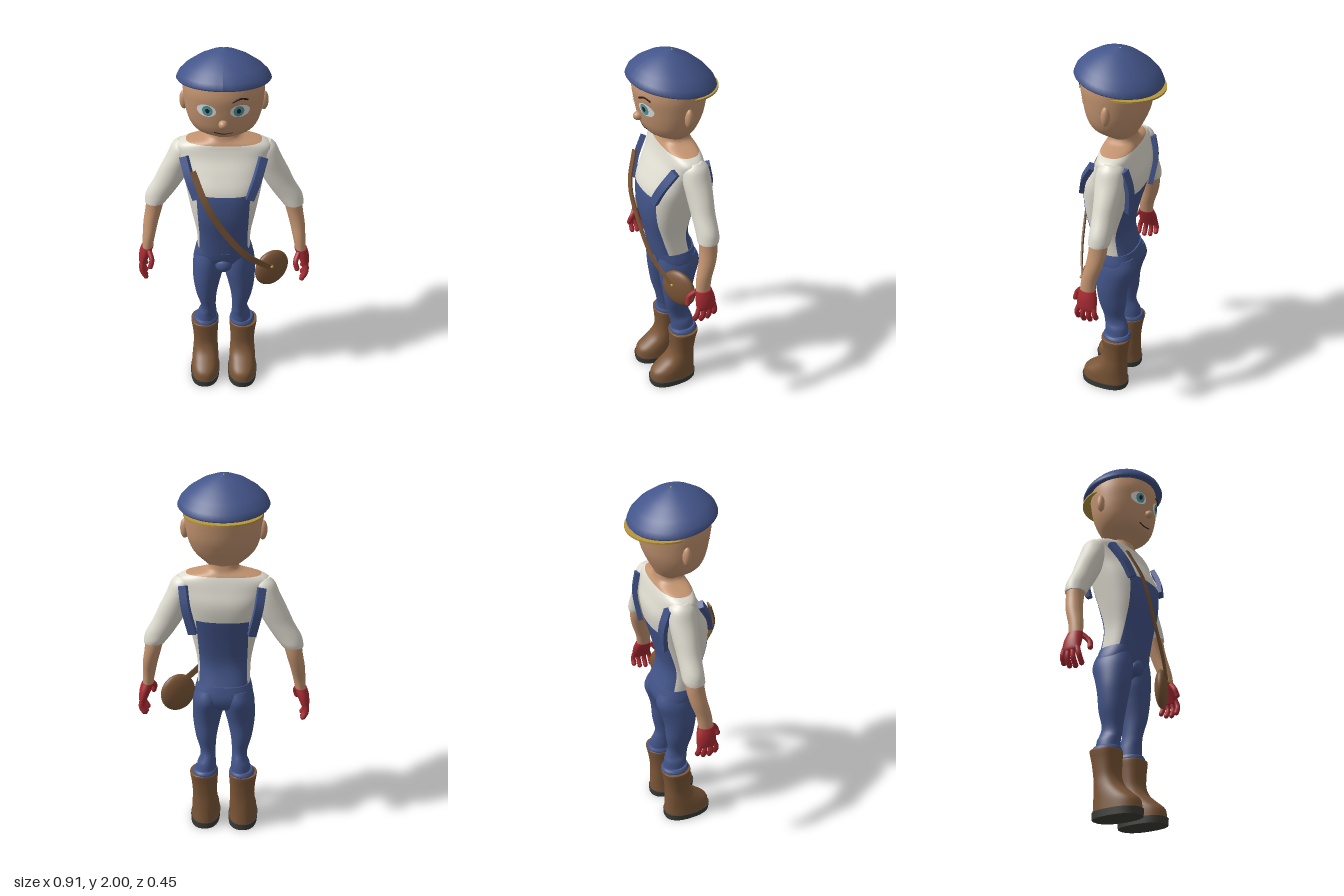
import * as THREE from 'three';

const paint = (color) => new THREE.MeshStandardMaterial({ color });
const V = (p) => new THREE.Vector3(...p);
const curve = (pts) => new THREE.CatmullRomCurve3(pts.map(V));

// Smooth closed body from rings listed upwards: [y, x0, x1, zFront, zBack, splitAngle].
// Each quarter has two zones divided at splitAngle, so colours can follow an edge.
function loft(rings, { exp = 2, n = 40, steps = 4, pick = () => 0 } = {}) {
  const pos = [], faces = [], q = n / 4;
  const rows = (rings.length - 1) * steps;
  const at = (t) => {
    const k = Math.min(Math.floor(t), rings.length - 2), f = t - k;
    const R = (i) => rings[Math.max(0, Math.min(rings.length - 1, i))];
    const [a, b, c, d] = [R(k - 1), R(k), R(k + 1), R(k + 2)].map((r) => [...r.slice(0, 5), r[5] ?? 45]);
    return b.map((v, i) => v + 0.5 * f * (c[i] - a[i] + f * (2 * a[i] - 5 * v + 4 * c[i] - d[i] + f * (3 * (v - c[i]) + d[i] - a[i]))));
  };
  const warp = (u, s) => (u < 0.5 ? u * 2 * s : s + (u - 0.5) * 2 * (90 - s)) * Math.PI / 180;
  const pw = (v) => Math.sign(v) * Math.abs(v) ** (2 / exp);
  const addRing = (t) => {
    const [y, x0, x1, zf, zb, s] = at(t);
    for (let i = 0; i < n; i++) {
      const quarter = Math.floor(i / q), u = (i % q) / q;
      const a = quarter % 2 ? (quarter + 1) * Math.PI / 2 - warp(1 - u, s) : quarter * Math.PI / 2 + warp(u, s);
      pos.push((x0 + x1) / 2 + (x1 - x0) / 2 * pw(Math.cos(a)), y, (zf + zb) / 2 + (zf - zb) / 2 * pw(Math.sin(a)));
    }
    return [(x0 + x1) / 2, y, (zf + zb) / 2];
  };
  const put = (m, ...ids) => (faces[m] ??= []).push(...ids);
  for (let j = 0; j <= rows; j++) addRing(j / steps);
  for (let j = 0; j < rows; j++) for (let i = 0; i < n; i++) {
    const a = j * n + i, b = j * n + (i + 1) % n, c = a + n, d = b + n;
    const u = ((i % q) + 0.5) / q, inner = (Math.floor(i / q) % 2 ? 1 - u : u) > 0.5;
    put(pick(Math.floor(j / steps), inner), a, c, b, b, c, d);
  }
  // End caps with their own vertices for crisp rims
  for (const top of [false, true]) {
    const base = pos.length / 3;
    pos.push(...addRing(top ? rings.length - 1 : 0));
    const m = pick(top ? rings.length - 2 : 0, true);
    for (let i = 0; i < n; i++) {
      const a = base + i, b = base + (i + 1) % n;
      top ? put(m, base + n, b, a) : put(m, base + n, a, b);
    }
  }
  const g = new THREE.BufferGeometry();
  g.setAttribute('position', new THREE.Float32BufferAttribute(pos, 3));
  let start = 0;
  faces.forEach((f, m) => { g.addGroup(start, f.length, m); start += f.length; });
  g.setIndex(faces.flat());
  g.computeVertexNormals();
  return g;
}

// Flat strap bent along a path, its face turned towards `out`
function ribbon(pts, width, thick, out) {
  const path = curve(pts), g = new THREE.BoxGeometry(width, thick, 1, 1, 1, 20), p = g.attributes.position;
  for (let i = 0; i < p.count; i++) {
    const t = Math.min(1, Math.max(0, p.getZ(i) + 0.5)), tan = path.getTangent(t);
    const nrm = V(out).addScaledVector(tan, -V(out).dot(tan)).normalize();
    const side = nrm.clone().cross(tan);
    const v = path.getPoint(t).addScaledVector(side, p.getX(i)).addScaledVector(nrm, p.getY(i));
    p.setXYZ(i, v.x, v.y, v.z);
  }
  g.computeVertexNormals();
  return g;
}

const ball = (c, r) => new THREE.SphereGeometry(1, 28, 18).scale(...r).translate(...c);

function flipped(geo) {
  const g = geo.clone().scale(-1, 1, 1), ix = g.index;
  for (let i = 0; i < ix.count; i += 3) { const a = ix.getX(i); ix.setX(i, ix.getX(i + 1)); ix.setX(i + 1, a); }
  g.computeVertexNormals();
  return g;
}

export function createModel() {
  const blue = paint(0x43558a), skin = paint(0xc39470), shirt = paint(0xdedbcf), brown = paint(0x7b5637);
  const sole = paint(0x3b3c36), red = paint(0xa52a31), gold = paint(0xb8963f);
  const iris = paint(0x4c9ca6), eyeWhite = paint(0xe6e8e6), dark = paint(0x2a1d18);
  Object.entries({ blue, skin, shirt, brown, sole, red, gold, iris, eyeWhite, dark }).forEach(([k, m]) => { m.name = k; });

  const model = new THREE.Group();
  model.name = 'figure';
  const add = (name, geo, mat) => {
    const mesh = new THREE.Mesh(geo, mat);
    mesh.name = name;
    model.add(mesh);
    return mesh;
  };
  const pair = (name, geo, mat) => { add(name + 'Left', geo, mat); add(name + 'Right', flipped(geo), mat); };

  // Torso: shirt, overall bib front and back, bare neck
  const sym = (y, hx, zf, zb, s) => [y, -hx, hx, zf, zb, s];
  add('torso', loft([
    sym(0.88, 0.138, 0.125, -0.095, 25), sym(1.0, 0.141, 0.148, -0.066, 32), sym(1.13, 0.165, 0.174, -0.09, 43),
    sym(1.27, 0.192, 0.172, -0.127, 50), sym(1.36, 0.208, 0.132, -0.138, 50), sym(1.43, 0.228, 0.092, -0.122, 50),
    sym(1.475, 0.235, 0.075, -0.11, 50), sym(1.503, 0.19, 0.068, -0.1, 50), sym(1.53, 0.085, 0.056, -0.088, 50),
    sym(1.57, 0.075, 0.05, -0.082, 50),
  ], { exp: 2.5, n: 64, pick: (seg, inner) => (seg >= 7 ? 2 : seg < 3 && inner ? 1 : 0) }), [shirt, blue, skin]);

  // Trousers
  add('hips', loft([
    sym(0.745, 0.09, 0.05, -0.07), sym(0.78, 0.14, 0.085, -0.1), sym(0.83, 0.155, 0.112, -0.11),
    sym(0.892, 0.141, 0.128, -0.099),
  ], { exp: 2.4 }), blue);
  add('trouserFront', ball([0, 0.8, 0.09], [0.045, 0.045, 0.035]), blue);
  pair('leg', loft([
    [0.34, 0.04, 0.15, 0.045, -0.085], [0.4, 0.042, 0.143, 0.048, -0.08], [0.435, 0.045, 0.128, 0.055, -0.07],
    [0.48, 0.045, 0.13, 0.062, -0.056], [0.56, 0.038, 0.152, 0.082, -0.068], [0.65, 0.02, 0.165, 0.096, -0.075],
    [0.72, 0.004, 0.167, 0.105, -0.092], [0.8, 0, 0.162, 0.11, -0.116], [0.86, 0.005, 0.145, 0.105, -0.1],
  ]), blue);
  pair('trouserCuff', loft([
    [0.338, 0.034, 0.168, 0.055, -0.097], [0.352, 0.032, 0.17, 0.056, -0.098], [0.366, 0.038, 0.16, 0.05, -0.09],
  ]), blue);

  // Boots
  pair('boot', loft([
    [0.03, 0.028, 0.183, 0.178, -0.083], [0.08, 0.03, 0.181, 0.17, -0.081], [0.12, 0.032, 0.178, 0.125, -0.079],
    [0.16, 0.035, 0.174, 0.08, -0.078], [0.21, 0.037, 0.171, 0.056, -0.079], [0.28, 0.034, 0.176, 0.056, -0.088],
    [0.335, 0.03, 0.184, 0.061, -0.099], [0.345, 0.032, 0.182, 0.058, -0.097],
  ], { exp: 2.3 }), brown);
  pair('bootSole', loft([[0, 0.026, 0.186, 0.181, -0.085], [0.035, 0.024, 0.188, 0.184, -0.087]], { exp: 2.4, steps: 1 }), sole);

  // Arms
  pair('sleeve', loft([
    [1.118, 0.305, 0.413, 0.02, -0.087], [1.14, 0.288, 0.411, 0.02, -0.092], [1.18, 0.258, 0.4, 0.02, -0.092],
    [1.25, 0.212, 0.36, 0.024, -0.094], [1.32, 0.175, 0.328, 0.03, -0.1], [1.4, 0.15, 0.288, 0.038, -0.104],
    [1.46, 0.14, 0.262, 0.03, -0.095], [1.487, 0.16, 0.235, 0.0, -0.065],
  ]), shirt);
  pair('forearm', loft([
    [0.85, 0.38, 0.434, 0.05, -0.026], [0.92, 0.365, 0.43, 0.044, -0.036], [1.0, 0.346, 0.424, 0.026, -0.062],
    [1.07, 0.326, 0.412, 0.016, -0.077], [1.13, 0.31, 0.404, 0.014, -0.078],
  ]), skin);

  // Gloved hands
  pair('glove', loft([
    [0.752, 0.418, 0.45, 0.05, -0.042], [0.77, 0.41, 0.456, 0.058, -0.048], [0.82, 0.388, 0.452, 0.058, -0.044],
    [0.86, 0.374, 0.44, 0.053, -0.032],
  ]), red);
  const digits = {
    thumb: [[0.395, 0.85, 0.045], [0.38, 0.81, 0.078], [0.388, 0.775, 0.088]],
    indexFinger: [[0.435, 0.775, 0.044], [0.438, 0.73, 0.058], [0.418, 0.69, 0.06]],
    middleFinger: [[0.437, 0.775, 0.018], [0.442, 0.72, 0.026], [0.422, 0.682, 0.027]],
    ringFinger: [[0.437, 0.775, -0.008], [0.442, 0.725, -0.008], [0.424, 0.688, -0.008]],
    littleFinger: [[0.435, 0.775, -0.034], [0.44, 0.735, -0.04], [0.426, 0.708, -0.042]],
  };
  for (const [name, pts] of Object.entries(digits)) {
    pair(name, new THREE.TubeGeometry(curve(pts), 10, 0.0135, 10), red);
    pair(name + 'Tip', new THREE.SphereGeometry(0.0135, 12, 8).translate(...pts[2]), red);
  }

  // Head
  const head = add('head', loft([
    sym(1.54, 0.06, 0.045, -0.08), sym(1.56, 0.09, 0.07, -0.085), sym(1.6, 0.142, 0.132, -0.105),
    sym(1.64, 0.168, 0.158, -0.125), sym(1.69, 0.184, 0.172, -0.145), sym(1.75, 0.193, 0.183, -0.158),
    sym(1.82, 0.197, 0.192, -0.168), sym(1.89, 0.188, 0.18, -0.165),
  ], { n: 48 }), skin);
  pair('ear', ball([0.193, 1.725, -0.003], [0.023, 0.05, 0.022]), skin);
  add('nose', ball([0, 1.685, 0.177], [0.022, 0.022, 0.025]), skin);

  // Face details laid on the head surface
  const ray = new THREE.Raycaster();
  const faceZ = (x, y) => {
    ray.set(new THREE.Vector3(x, y, 1), new THREE.Vector3(0, 0, -1));
    return ray.intersectObject(head)[0].point.z;
  };
  const plate = (x, y, rx, ry, lift) => {
    const g = new THREE.RingGeometry(0.001, 1, 28, 4).scale(rx, ry, 1).translate(x, y, 0), p = g.attributes.position;
    for (let i = 0; i < p.count; i++) p.setZ(i, faceZ(p.getX(i), p.getY(i)) + lift);
    g.computeVertexNormals();
    return g;
  };
  pair('eyeWhite', plate(0.079, 1.755, 0.046, 0.034, 0.003), eyeWhite);
  pair('iris', plate(0.074, 1.756, 0.025, 0.029, 0.005), iris);
  pair('pupil', plate(0.074, 1.757, 0.01, 0.013, 0.007), dark);
  const line = (pts, r) => new THREE.TubeGeometry(curve(pts.map(([x, y]) => [x, y, faceZ(x, y)])), 16, r, 6);
  add('eyebrow', line([[0.042, 1.806], [0.062, 1.816], [0.085, 1.821], [0.115, 1.81]], 0.005), dark);
  add('mouth', line([[-0.045, 1.628], [-0.022, 1.622], [0, 1.62], [0.022, 1.622], [0.045, 1.628]], 0.003), dark);

  // Cap, tilted back, with a thin bill behind
  const capGeo = new THREE.LatheGeometry([
    [0, 1.85], [0.19, 1.852], [0.222, 1.845], [0.228, 1.853], [0.216, 1.88], [0.182, 1.915], [0.12, 1.957], [0.06, 1.984], [0, 1.998],
  ].map(([x, y]) => new THREE.Vector2(x, y)), 48).scale(1, 1, 0.95).translate(0, 0, 0.005);
  const cp = capGeo.attributes.position;
  for (let i = 0; i < cp.count; i++) cp.setY(i, cp.getY(i) + 0.14 * cp.getZ(i));
  capGeo.computeVertexNormals();
  add('cap', capGeo, blue);
  add('capButton', ball([0, 1.996, 0], [0.005, 0.004, 0.005]), gold);
  add('capBill', new THREE.CylinderGeometry(0.196, 0.196, 0.009, 40, 1, false, Math.PI / 2, Math.PI)
    .rotateX(-0.04).translate(0, 1.813, -0.03), gold);

  // Overall straps, front and back
  pair('frontStrap', ribbon([[0.13, 1.252, 0.158], [0.165, 1.345, 0.128], [0.197, 1.445, 0.07]], 0.042, 0.026, [0.3, 0, 1]), blue);
  pair('backStrap', ribbon([[0.15, 1.2, -0.108], [0.183, 1.35, -0.122], [0.197, 1.455, -0.1]], 0.042, 0.026, [0.3, 0, -1]), blue);

  // Shoulder bag on its strap
  add('bagStrap', ribbon([
    [-0.15, 1.4, 0.14], [-0.085, 1.245, 0.195], [0.01, 1.065, 0.19], [0.127, 0.906, 0.165], [0.25, 0.8, 0.113],
  ], 0.032, 0.008, [0.2, 0, 1]), brown);
  add('bag', ball([0, 0, 0], [0.1, 0.106, 0.036]).rotateY(0.52).translate(0.254, 0.772, 0.074), brown);
  add('bagButton', ball([0.255, 0.806, 0.115], [0.009, 0.009, 0.008]), gold);
  return model;
}
